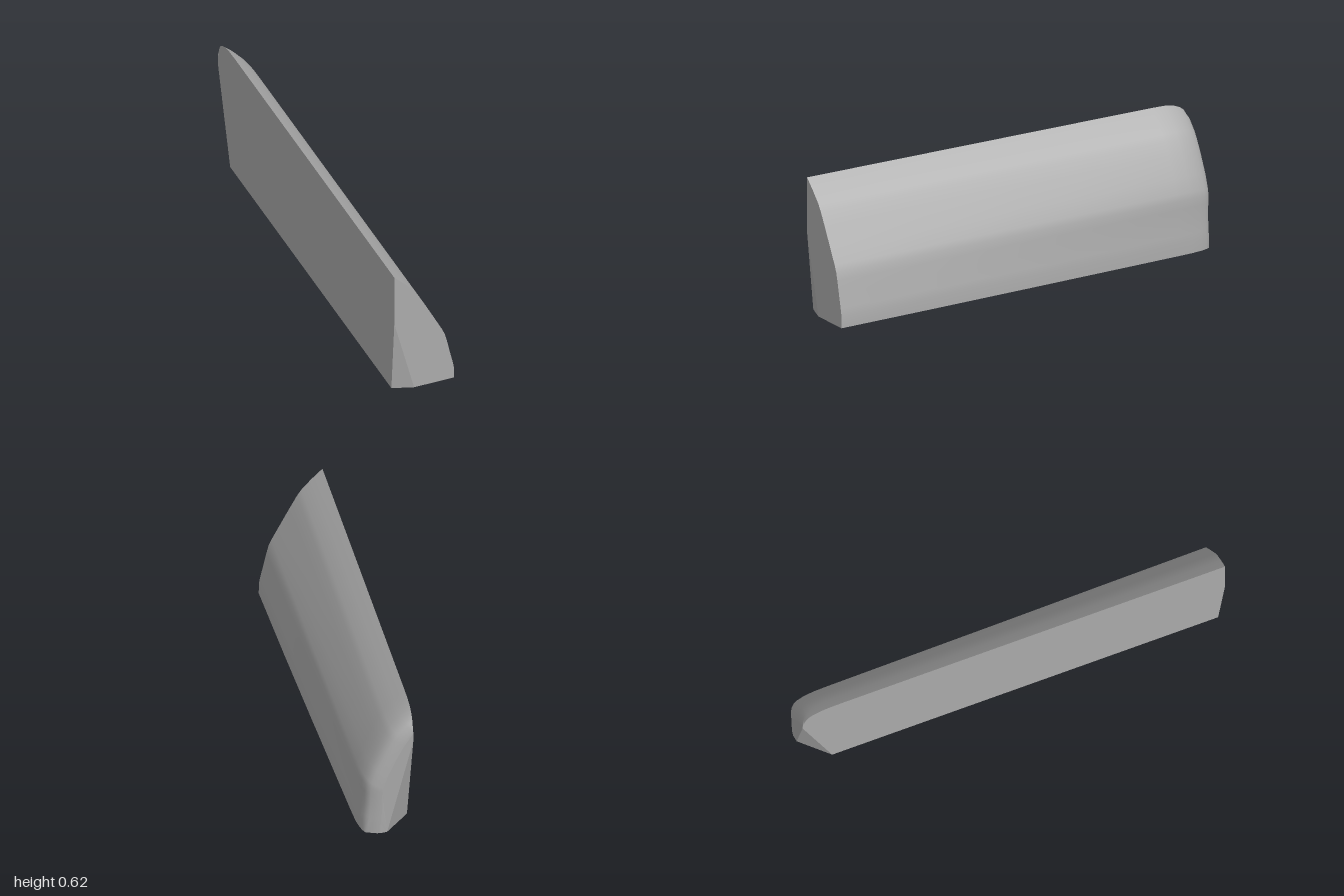
import * as THREE from 'three';

const WALL = -0.145;

// Outer profile, from the top ridge down to the base
const PROFILE = [[WALL, 0.623], [-0.095, 0.575], [-0.05, 0.525], [-0.03, 0.495], [0, 0.44], [0.05, 0.345],
  [0.085, 0.278], [0.098, 0.248], [0.108, 0.21], [0.12, 0.155], [0.135, 0.09], [0.142, 0.055], [0.143, 0]];

// Lengthwise stations: z and inset of the profile (rounded far end)
const STATIONS = [[1, 0], [0.5, 0], [0, 0], [-0.5, 0], [-0.8, 0], [-0.87, 0.001], [-0.92, 0.006],
  [-0.95, 0.013], [-0.97, 0.022], [-0.983, 0.034], [-0.992, 0.05], [-0.998, 0.07], [-1, 0.085]];

// One cross-section: the lower side tapers toward the back and the end is inset
function section([z, inset]) {
  const t = Math.pow((1 - z) / 2, 1.15);
  const last = PROFILE.length - 1;
  return PROFILE.map(([x, y], j) => {
    const taper = 0.057 * t * (1 - THREE.MathUtils.smoothstep(y, 0.03, 0.42));
    const a = PROFILE[Math.max(j - 1, 0)], b = PROFILE[Math.min(j + 1, last)];
    const n = new THREE.Vector2(a[1] - b[1], b[0] - a[0]).normalize();
    if (j === 0) n.set(0, 1.75);
    if (j === last) n.set(1, 0);
    const lean = z < -0.98 ? 0.01 * Math.max(0, 1 - y / 0.3) : 0;
    return new THREE.Vector3(Math.max(WALL, x - taper - n.x * inset), Math.max(0, y - n.y * inset), z + lean);
  });
}

// Smooth skin through all cross-sections
function skinGeometry(sections) {
  const n = PROFILE.length, index = [];
  for (let i = 0; i < sections.length - 1; i++) {
    for (let j = 0; j < n - 1; j++) {
      const a = i * n + j, b = a + 1, c = a + n, d = c + 1;
      index.push(a, b, c, c, b, d);
    }
  }
  const g = new THREE.BufferGeometry().setFromPoints(sections.flat());
  g.setIndex(index);
  g.computeVertexNormals();
  return g;
}

// Flat polygon as a triangle fan
function fanGeometry(points) {
  const tris = [];
  for (let i = 1; i < points.length - 1; i++) tris.push(points[0], points[i], points[i + 1]);
  const g = new THREE.BufferGeometry().setFromPoints(tris);
  g.computeVertexNormals();
  return g;
}

export function createModel() {
  const group = new THREE.Group();
  group.name = 'halfRoundedBlock';
  const grey = new THREE.MeshStandardMaterial({ color: 0xaaaaaa });
  grey.name = 'grey';
  const add = (name, geometry) => {
    const mesh = new THREE.Mesh(geometry, grey);
    mesh.name = name;
    group.add(mesh);
  };

  const sections = STATIONS.map(section);
  const front = sections[0], back = sections[sections.length - 1];
  const ridge = sections.map((s) => s[0]);
  const baseEdge = sections.map((s) => s[s.length - 1]);

  // Corners of the small angled cuts beside the flat wall
  const v = (x, y, z) => new THREE.Vector3(x, y, z);
  const frontCut = v(WALL, 0.37, 1), frontCorner = v(WALL, 0, 0.967), frontBase = v(-0.05, 0, 1);
  const backCorner = v(WALL, 0, -0.86), backBase = v(-0.03, 0, -0.985);

  add('curvedSide', skinGeometry(sections));
  add('flatWall', fanGeometry([frontCorner, frontCut, ...ridge, backCorner]));
  add('base', fanGeometry([frontCorner, backCorner, backBase, ...[...baseEdge].reverse(), frontBase]));
  add('frontFace', fanGeometry([frontBase, ...[...front].reverse(), frontCut]));
  add('frontCornerCut', fanGeometry([frontCorner, frontBase, frontCut]));
  add('backFace', fanGeometry([backBase, ...back]));
  add('backCornerCut', fanGeometry([backCorner, back[0], backBase]));
  return group;
}
